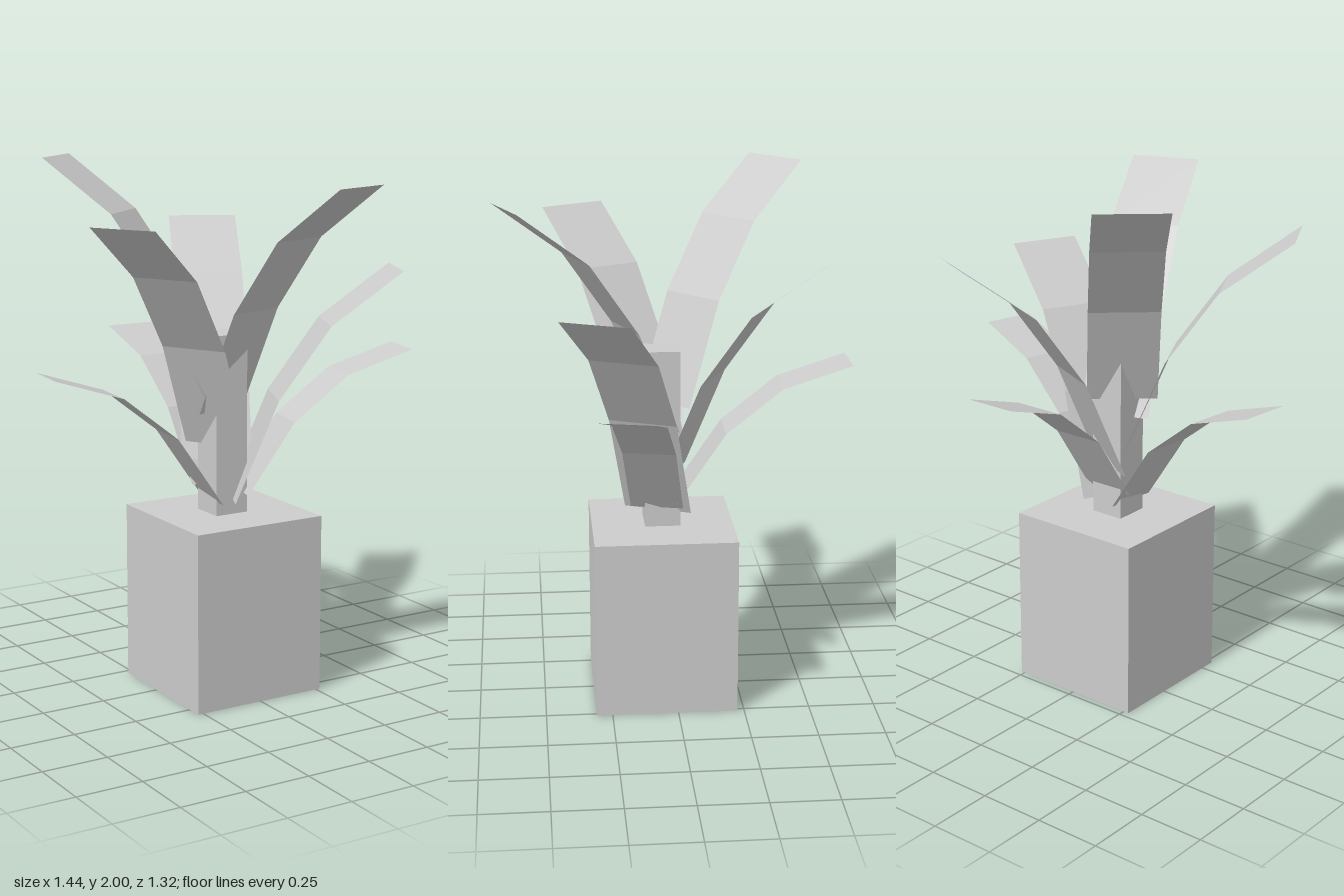
import * as THREE from 'three';

// Leaf profiles from base to tip: [outward, up]
const LARGE = { name: 'largeLeaf', width: 0.266, profile: [[0, 0], [0.16, 0.385], [0.353, 0.66], [0.62, 0.86]] };
const SMALL = { name: 'smallLeaf', width: 0.2, profile: [[0, 0], [0.183, 0.268], [0.395, 0.436], [0.655, 0.52]] };

// Each leaf: type, azimuth from the front in degrees, base position
const LEAVES = [
  [LARGE, 20.2, 0, 1.067, 0.03],
  [LARGE, 65.8, 0.023, 0.735, 0.059],
  [LARGE, 154.3, -0.003, 0.872, 0.001],
  [LARGE, 221.5, -0.034, 1.14, 0.032],
  [LARGE, 298, -0.041, 0.94, 0.057],
  [SMALL, 77, 0.058, 0.755, 0.065],
  [SMALL, 180, -0.005, 0.78, -0.01],
  [SMALL, 264.3, -0.058, 0.73, 0.055],
];

// Flat strip folded along its profile, one facet per segment
function leafGeometry({ width, profile }) {
  const strip = new THREE.PlaneGeometry(width, 1, 1, profile.length - 1);
  const pos = strip.attributes.position;
  for (let i = 0; i < pos.count; i++) {
    const [out, up] = profile[Math.floor(i / 2)];
    pos.setXYZ(i, pos.getX(i), up, out);
  }
  const geometry = strip.toNonIndexed();
  geometry.computeVertexNormals();
  return geometry;
}

export function createModel() {
  const model = new THREE.Group();
  model.name = 'pottedPlant';
  const grey = new THREE.MeshStandardMaterial({ color: 0xcccccc, side: THREE.DoubleSide });
  grey.name = 'lightGrey';

  const add = (name, geometry, x, y, z) => {
    const mesh = new THREE.Mesh(geometry, grey);
    mesh.name = name;
    mesh.position.set(x, y, z);
    model.add(mesh);
    return mesh;
  };

  // Pot and stem
  add('pot', new THREE.BoxGeometry(0.537, 0.68, 0.535), -0.003, 0.34, 0.043);
  add('stem', new THREE.BoxGeometry(0.134, 0.68, 0.134), -0.005, 1.02, 0.043);

  // Leaves around the stem
  for (const [type, azimuth, x, y, z] of LEAVES) {
    add(type.name, leafGeometry(type), x, y, z).rotation.y = THREE.MathUtils.degToRad(azimuth);
  }
  return model;
}
